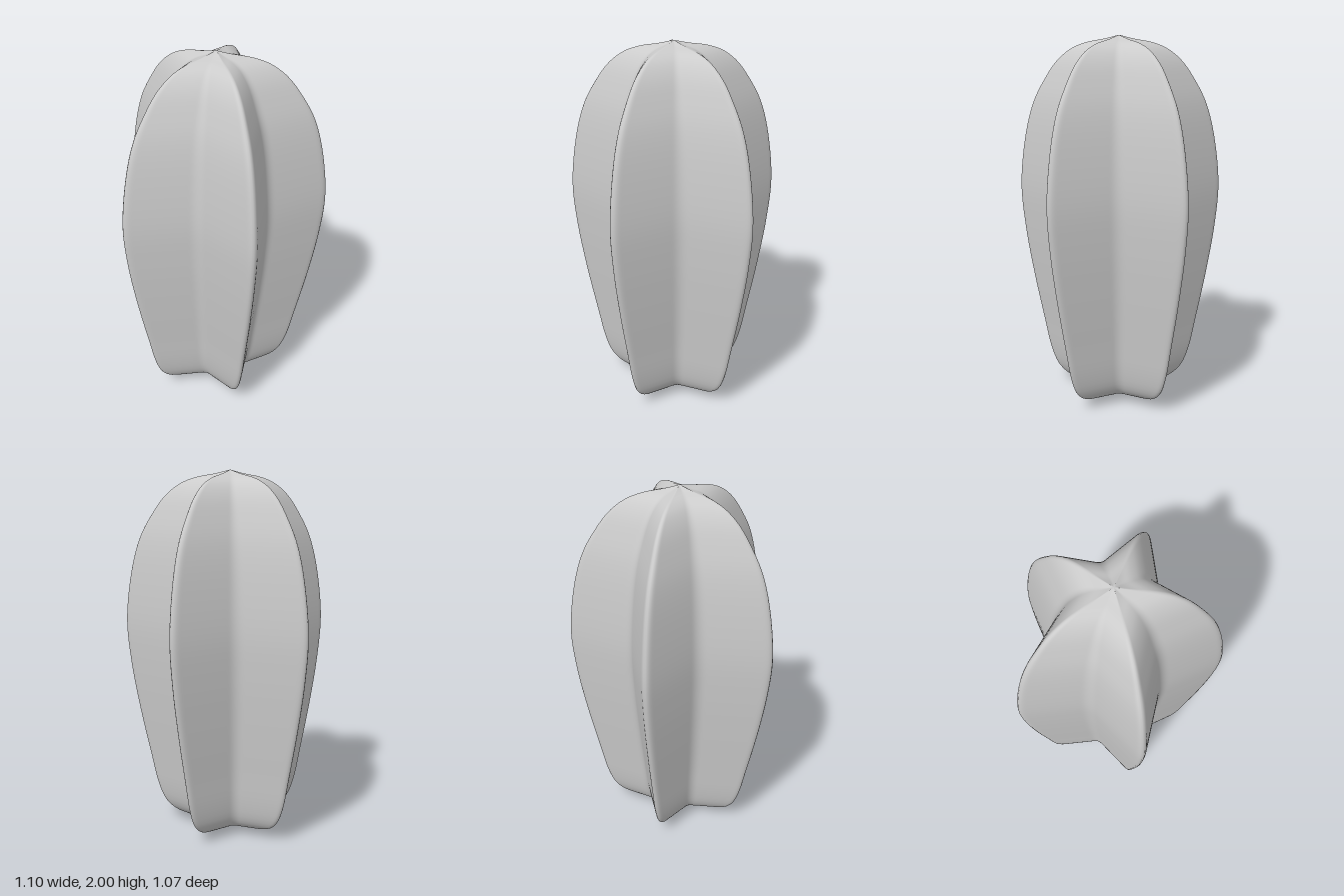
import * as THREE from 'three';

const CENTRE = new THREE.Vector2(0, 0.04); // axis of the fruit in x, z

// Star corners at the widest section (x, z): tip, valley, tip, valley...
const CORNERS = [
  [-0.02, -0.54], [0.185, -0.23], [0.55, -0.165], [0.325, 0.125], [0.375, 0.495],
  [0.03, 0.37], [-0.31, 0.53], [-0.297, 0.163], [-0.555, -0.11], [-0.19, -0.213],
];

// Section scale against height, bottom to top
const PROFILE = [
  [0, 0], [0.18, 0.017], [0.37, 0.034], [0.56, 0.07], [0.657, 0.125], [0.724, 0.22], [0.79, 0.39],
  [0.895, 0.68], [0.97, 0.945], [1, 1.18], [0.94, 1.46], [0.85, 1.64], [0.72, 1.775],
  [0.61, 1.86], [0.47, 1.925], [0.32, 1.96], [0.14, 1.98], [0, 2],
];

// Star outline around the axis with rounded tips and valleys
function starOutline(count) {
  const pts = CORNERS.map(([x, z], i) =>
    new THREE.Vector2(x, z).sub(CENTRE).multiplyScalar(i % 2 ? 0.97 : 1.045));
  const path = new THREE.Path();
  const toward = (a, b, d) => a.clone().add(b.clone().sub(a).setLength(d));
  pts.forEach((p, i) => {
    const d = i % 2 ? 0.045 : 0.06;
    const start = toward(p, pts[(i + 9) % 10], d);
    const end = toward(p, pts[(i + 1) % 10], d);
    if (i) path.lineTo(start.x, start.y);
    else path.moveTo(start.x, start.y);
    path.quadraticCurveTo(p.x, p.y, end.x, end.y);
  });
  path.closePath();
  return path.getSpacedPoints(count).slice(0, count);
}

function bodyGeometry(around = 300, rings = 80) {
  const outline = starOutline(around);
  const curve = new THREE.CatmullRomCurve3(
    PROFILE.map(([s, y]) => new THREE.Vector3(s, y, 0)), false, 'centripetal');
  const levels = curve.getSpacedPoints(rings).slice(1, -1);

  // Bottom pole, stacked star sections, top pole
  const position = [CENTRE.x, 0, CENTRE.y];
  for (const { x: s, y } of levels)
    for (const p of outline) position.push(CENTRE.x + p.x * s, y, CENTRE.y + p.y * s);
  position.push(CENTRE.x, 2, CENTRE.y);

  const index = [];
  const at = (i, j) => 1 + i * around + (j % around);
  const last = levels.length - 1;
  const top = position.length / 3 - 1;
  for (let j = 0; j < around; j++) {
    index.push(0, at(0, j), at(0, j + 1));
    for (let i = 0; i < last; i++) {
      const a = at(i, j), b = at(i, j + 1), c = at(i + 1, j + 1), d = at(i + 1, j);
      index.push(a, d, c, a, c, b);
    }
    index.push(at(last, j), top, at(last, j + 1));
  }

  const geometry = new THREE.BufferGeometry();
  geometry.setAttribute('position', new THREE.Float32BufferAttribute(position, 3));
  geometry.setIndex(index);
  geometry.computeVertexNormals();
  return geometry;
}

export function createModel() {
  const group = new THREE.Group();
  group.name = 'starFruit';
  const body = new THREE.Mesh(bodyGeometry(), new THREE.MeshStandardMaterial({ color: 0xcccccc }));
  body.name = 'fruitBody';
  group.add(body);
  return group;
}
